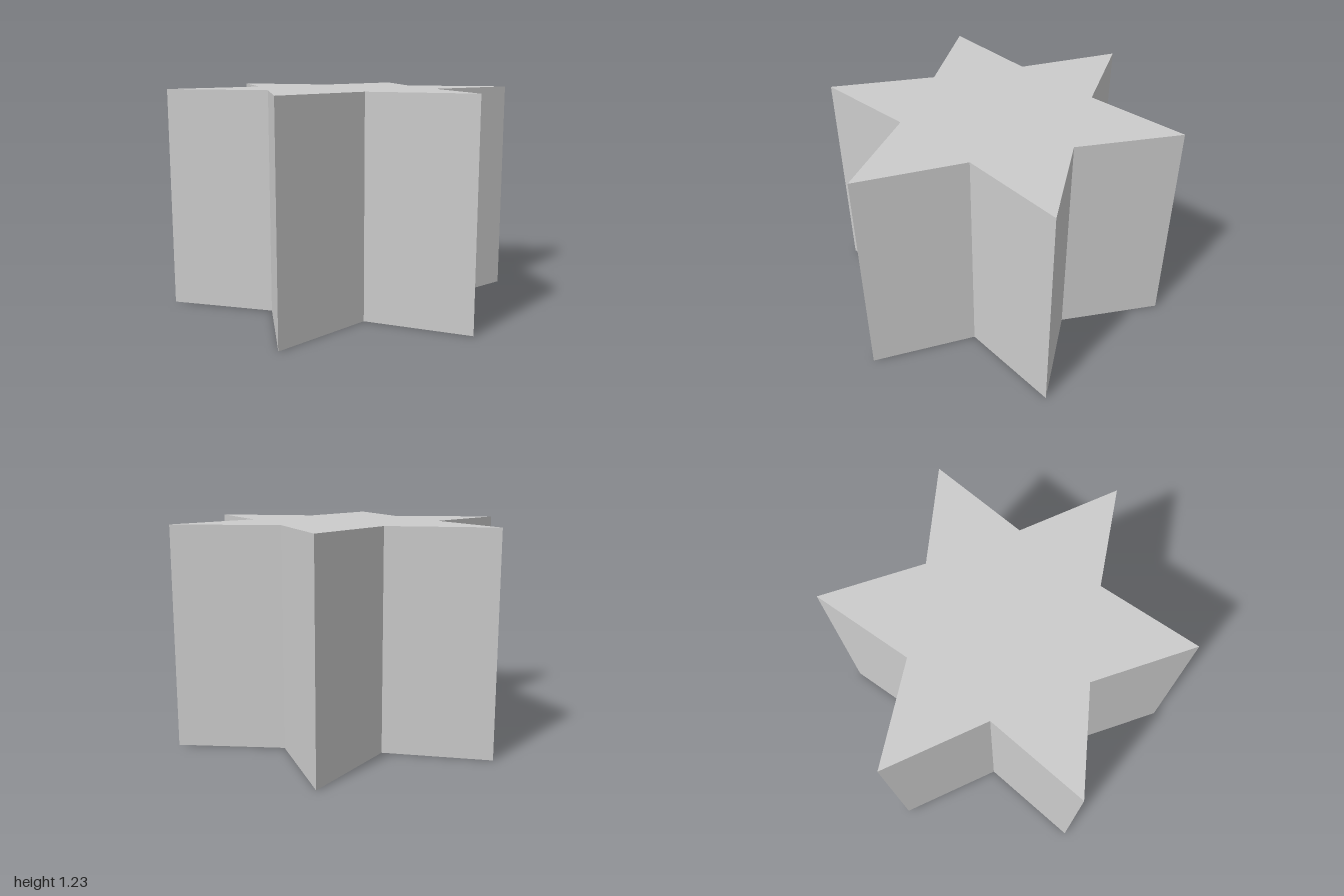
import * as THREE from 'three';

const POINTS = 6;
const OUTER_RADIUS = 1;
const INNER_RADIUS = 0.54;
const HEIGHT = 1.23;

// Star outline with tips and valleys alternating, one tip on the front-back axis
function starShape() {
  const corners = [];
  for (let i = 0; i < POINTS * 2; i++) {
    const radius = i % 2 === 0 ? OUTER_RADIUS : INNER_RADIUS;
    const angle = Math.PI / 2 + (i * Math.PI) / POINTS;
    corners.push(new THREE.Vector2(radius * Math.cos(angle), radius * Math.sin(angle)));
  }
  return new THREE.Shape(corners);
}

export function createModel() {
  const group = new THREE.Group();
  group.name = 'starPrism';

  // Solid star prism, extruded and then stood upright on the ground
  const geometry = new THREE.ExtrudeGeometry(starShape(), { depth: HEIGHT, bevelEnabled: false });
  geometry.rotateX(-Math.PI / 2);

  const material = new THREE.MeshStandardMaterial({ color: 0xcccccc, flatShading: true });
  const star = new THREE.Mesh(geometry, material);
  star.name = 'starBody';
  group.add(star);

  return group;
}
